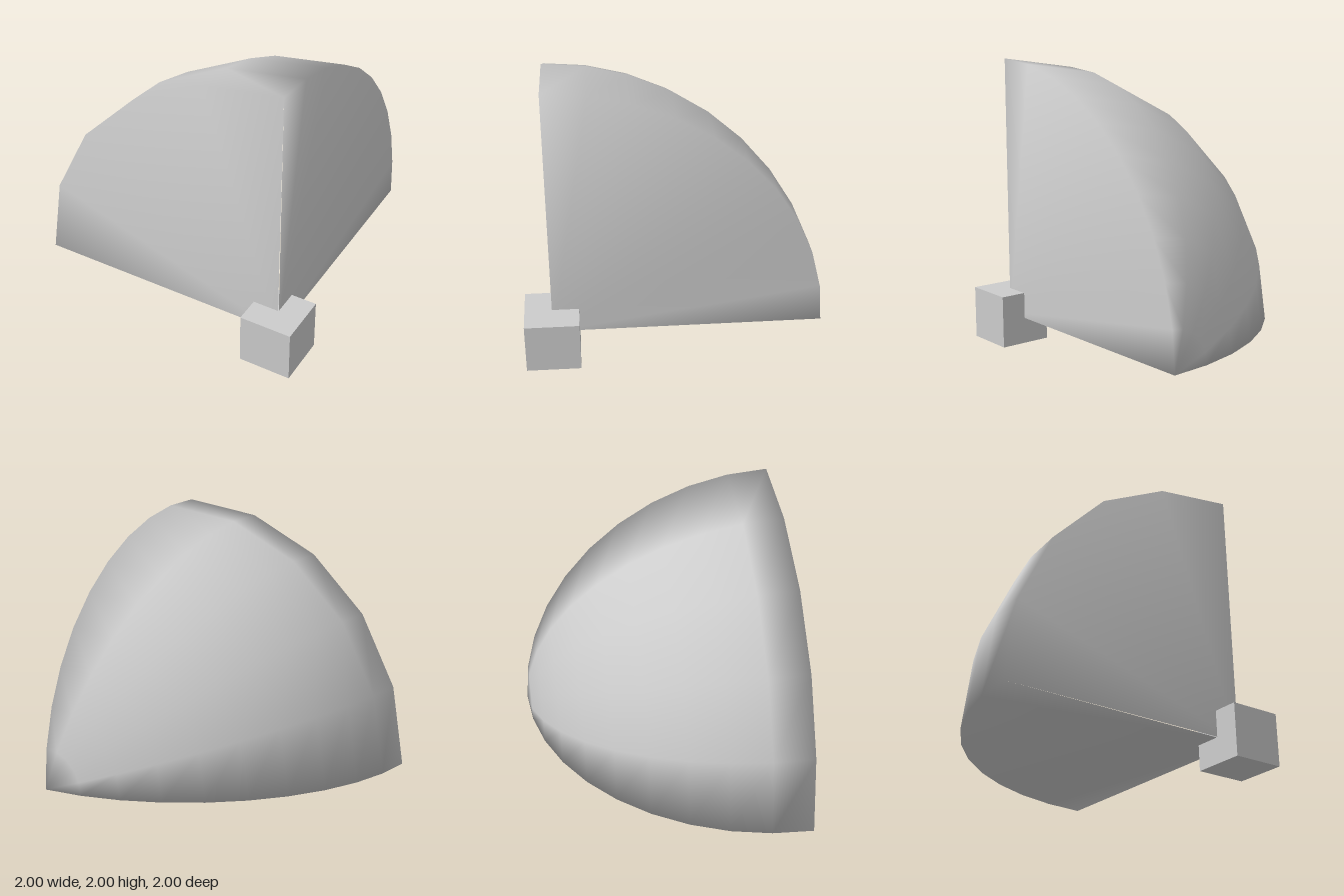
import * as THREE from 'three';
import { mergeGeometries, mergeVertices } from 'three/addons/utils/BufferGeometryUtils.js';

const R = 20 / 11;      // octant radius
const H = 2 / 11;       // half the cube's side
const Q = Math.PI / 2;

// Flat quarter disc; its hub is nudged outward (inside the cube) so it keeps its own normal
function quarterDisc(segments, start, rotate) {
  const g = new THREE.CircleGeometry(R, segments, start, Q);
  g.attributes.position.setZ(0, 0.004);
  return rotate(g);
}

export function createModel() {
  const grey = new THREE.MeshStandardMaterial({ color: 0xcccccc });
  grey.name = 'light grey';
  const model = new THREE.Group();
  model.name = 'sphereOctantWithCube';

  // Curved shell with its pole at the back, closed by three quarter discs
  const pieces = [
    new THREE.SphereGeometry(R, 5, 10, 0, Q, 0, Q).rotateX(-Q),
    quarterDisc(5, Q, (g) => g),                      // front wall
    quarterDisc(10, 0, (g) => g.rotateY(Q)),          // side wall
    quarterDisc(10, Math.PI, (g) => g.rotateX(Q)),    // underside
  ];
  for (const g of pieces) {
    g.deleteAttribute('normal');
    g.deleteAttribute('uv');
  }
  // Shared rim vertices give soft shading across the edges
  const octantGeometry = mergeVertices(mergeGeometries(pieces), 1e-3);
  octantGeometry.computeVertexNormals();
  const octant = new THREE.Mesh(octantGeometry, grey);
  octant.name = 'sphereOctant';

  // Cube centred on the octant's corner
  const cube = new THREE.Mesh(new THREE.BoxGeometry(2 * H, 2 * H, 2 * H), grey);
  cube.name = 'cornerCube';

  for (const part of [octant, cube]) {
    part.position.set(1 - H, H, 1 - H);
    model.add(part);
  }
  return model;
}
